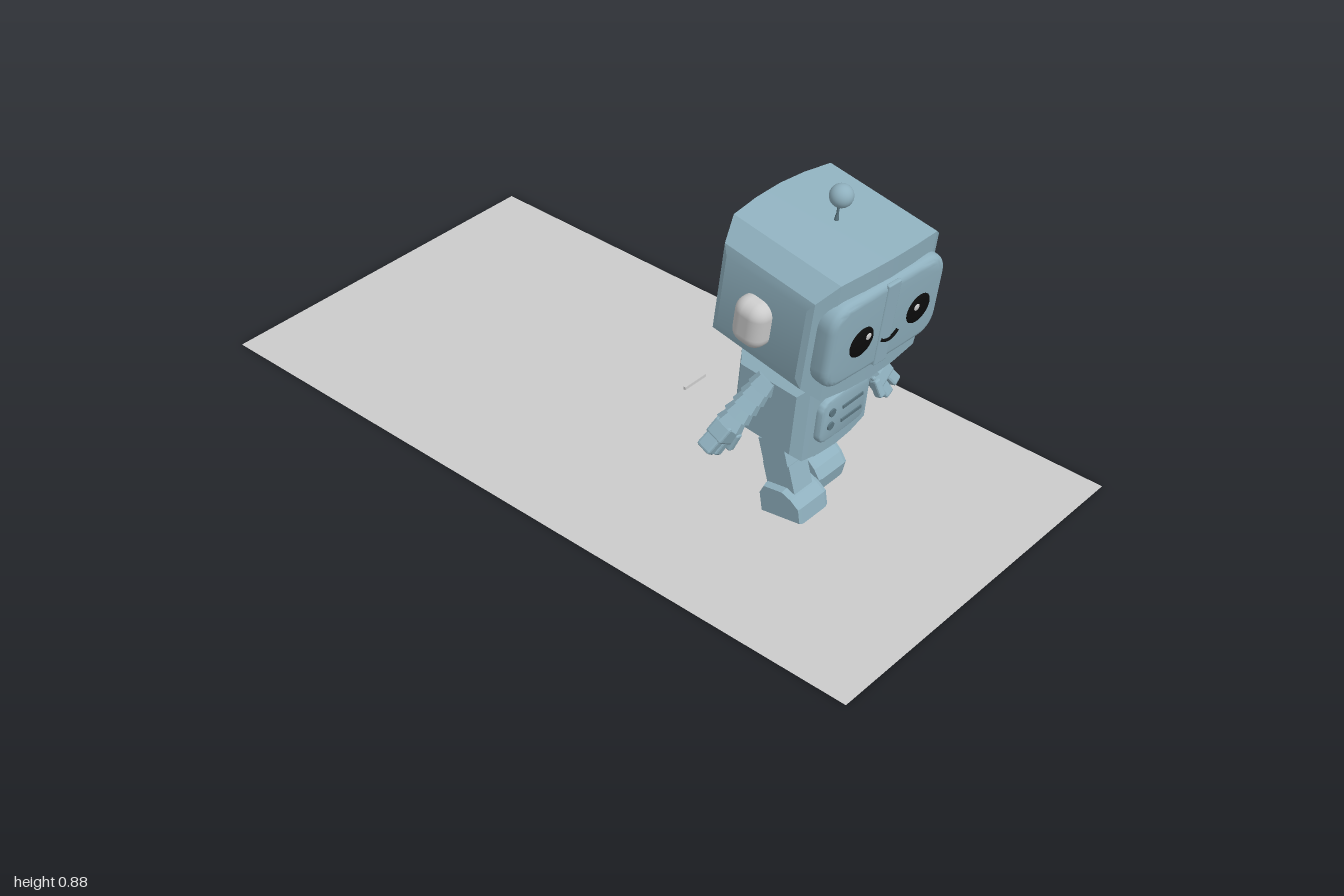
import * as THREE from 'three';
import { toCreasedNormals } from 'three/addons/utils/BufferGeometryUtils.js';
import { RoundedBoxGeometry } from 'three/addons/geometries/RoundedBoxGeometry.js';

const mat = (color, extra = {}) => new THREE.MeshStandardMaterial({ color, ...extra });
const blue = mat(0x8fb0be);
const blueFlat = mat(0x8fb0be, { flatShading: true });
const darkBlue = mat(0x5d7883);
const grey = mat(0xcccccc);
const black = mat(0x0c0c0c);

function add(parent, name, geo, material, x = 0, y = 0, z = 0) {
  const mesh = new THREE.Mesh(geo, material);
  mesh.name = name;
  mesh.position.set(x, y, z);
  parent.add(mesh);
  return mesh;
}

function group(parent, name, x, y, z) {
  const g = new THREE.Group();
  g.name = name;
  g.position.set(x, y, z);
  parent.add(g);
  return g;
}

// Chamfered, slightly bulging box: rectangular rings [x, half height, half depth] along x
function loftBox(rings) {
  const pos = [], idx = [];
  for (const [x, h, d] of rings) pos.push(x, -h, -d, x, h, -d, x, h, d, x, -h, d);
  for (let i = 0; i < rings.length - 1; i++) {
    for (let j = 0; j < 4; j++) {
      const a = i * 4 + j, b = i * 4 + (j + 1) % 4;
      idx.push(a, b, b + 4, a, b + 4, a + 4);
    }
  }
  const n = (rings.length - 1) * 4;
  idx.push(0, 2, 1, 0, 3, 2, n, n + 1, n + 2, n, n + 2, n + 3);
  const geo = new THREE.BufferGeometry();
  geo.setAttribute('position', new THREE.Float32BufferAttribute(pos, 3));
  geo.setIndex(idx);
  return toCreasedNormals(geo, 0.25);
}

const mirrorRings = (half) => [
  ...half.map(([x, h, d]) => [-x, h, d]),
  ...half.slice(0, -1).reverse(),
];

// Rounded plate with a soft front edge; its front lies at z = depth
function plate(w, h, r, depth, bevel) {
  const a = w / 2 - bevel, b = h / 2 - bevel, s = new THREE.Shape();
  s.moveTo(-a + r, -b);
  s.quadraticCurveTo(0, -b - 0.004, a - r, -b);
  s.quadraticCurveTo(a, -b, a, -b + r);
  s.lineTo(a, b - r);
  s.quadraticCurveTo(a, b, a - r, b);
  s.quadraticCurveTo(0, b + 0.004, -a + r, b);
  s.quadraticCurveTo(-a, b, -a, b - r);
  s.lineTo(-a, -b + r);
  s.quadraticCurveTo(-a, -b, -a + r, -b);
  const geo = new THREE.ExtrudeGeometry(s, {
    depth: depth - bevel, bevelSize: bevel, bevelThickness: bevel, bevelSegments: 4, curveSegments: 8,
  });
  return toCreasedNormals(geo, 0.6);
}

function buildHead(root) {
  const head = group(root, 'head', 0.015, 0.615, 0.505);
  head.rotation.set(0.13, -0.06, 0);
  add(head, 'headShell', loftBox(mirrorRings([
    [0.213, 0.095, 0.12], [0.207, 0.12, 0.135], [0.16, 0.163, 0.16], [0.08, 0.169, 0.168], [0, 0.171, 0.171],
  ])), blue);
  // Face plate with a centre strip
  add(head, 'facePlate', plate(0.38, 0.23, 0.045, 0.066, 0.018), blue, -0.004, 0, 0.121);
  add(head, 'faceStrip', new RoundedBoxGeometry(0.044, 0.228, 0.012, 2, 0.004), blue, -0.002, 0, 0.184);
  // Eyes with highlights
  for (const s of [-1, 1]) {
    const eye = add(head, 'eye', new THREE.SphereGeometry(0.04, 32, 16), black, 0.011 + s * 0.096, -0.013, 0.186);
    eye.scale.z = 0.2;
    const glint = add(head, 'eyeHighlight', new THREE.SphereGeometry(0.009, 16, 8), grey,
      0.011 + s * 0.096 - s * 0.014, 0, 0.193);
    glint.scale.z = 0.3;
  }
  const smile = new THREE.QuadraticBezierCurve3(
    new THREE.Vector3(-0.02, -0.038, 0.189), new THREE.Vector3(0.01, -0.062, 0.193), new THREE.Vector3(0.04, -0.038, 0.189));
  add(head, 'smile', new THREE.TubeGeometry(smile, 16, 0.004, 8), black);
  // Ears
  for (const s of [-1, 1]) {
    add(head, 'ear', new RoundedBoxGeometry(0.09, 0.12, 0.09, 4, 0.034), grey, s * 0.212, -0.013, -0.012);
  }
  // Antenna
  add(head, 'antennaBase', new THREE.CylinderGeometry(0.004, 0.006, 0.02, 10), darkBlue, 0, 0.175, 0);
  add(head, 'antennaStem', new THREE.CylinderGeometry(0.003, 0.003, 0.08, 10), darkBlue, 0, 0.2, 0);
  add(head, 'antennaBall', new THREE.SphereGeometry(0.028, 24, 16), blue, 0.003, 0.236, 0);
}

function buildBody(root) {
  const body = group(root, 'body', 0.005, 0.318, 0.465);
  body.rotation.x = 0.09;
  add(body, 'torso', loftBox(mirrorRings([
    [0.142, 0.085, 0.082], [0.118, 0.108, 0.102], [0.06, 0.116, 0.108], [0, 0.119, 0.11],
  ])), blue);
  add(body, 'neck', new THREE.CylinderGeometry(0.06, 0.07, 0.06, 20), blue, 0, 0.13, 0);
  // Chest panel with buttons and slots
  add(body, 'chestPanel', plate(0.175, 0.125, 0.025, 0.022, 0.008), blue, 0, -0.01, 0.1);
  for (const y of [0.013, -0.027]) {
    const button = add(body, 'button', new THREE.CylinderGeometry(0.011, 0.011, 0.008, 16), darkBlue, -0.051, y, 0.122);
    button.rotation.x = Math.PI / 2;
    add(body, 'slot', new THREE.BoxGeometry(0.075, 0.009, 0.006), darkBlue, 0.027, y - 0.007, 0.122);
  }
}

// Ribbed arm running from shoulder to fingertips
function buildArm(root, name, from, to, side) {
  const arm = group(root, name, ...from);
  const dir = new THREE.Vector3(...to).sub(arm.position).normalize();
  arm.quaternion.setFromUnitVectors(new THREE.Vector3(0, -1, 0), dir);
  for (let i = 0; i < 5; i++) {
    const rib = add(arm, 'armRib', new THREE.CylinderGeometry(0.027, 0.033 + i * 0.0008, 0.031, 8), blueFlat, 0, -0.014 - i * 0.028, 0);
    rib.rotation.y = Math.PI / 8;
  }
  // Hand: palm, two finger blocks and a thumb
  add(arm, 'palm', new RoundedBoxGeometry(0.064, 0.046, 0.05, 1, 0.006), blueFlat, 0, -0.16, 0);
  for (const s of [-1, 1]) {
    const finger = add(arm, 'finger', new RoundedBoxGeometry(0.03, 0.05, 0.042, 1, 0.006), blueFlat, s * 0.017, -0.195, 0);
    finger.rotation.z = s * 0.08;
  }
  const thumb = add(arm, 'thumb', new RoundedBoxGeometry(0.02, 0.05, 0.024, 1, 0.005), blueFlat, -side * 0.034, -0.172, 0.018);
  thumb.rotation.z = -side * 0.35;
}

// Two-part leg with a wedge foot; profile runs heel to toe
function buildLeg(root, name, x, ankleZ, footY, pitch) {
  const leg = group(root, name, x, 0.21, 0.46);
  leg.rotation.x = Math.atan2(0.46 - ankleZ, 0.14);
  add(leg, 'upperLeg', new THREE.BoxGeometry(0.068, 0.066, 0.074), blueFlat, 0, -0.033, 0);
  add(leg, 'lowerLeg', new THREE.BoxGeometry(0.066, 0.09, 0.08), blueFlat, 0, -0.11, 0);
  const p = new THREE.Shape([[-0.045, 0], [0.07, 0], [0.07, 0.038], [0.05, 0.058], [0.025, 0.072], [-0.03, 0.072], [-0.045, 0.05]]
    .map(([a, b]) => new THREE.Vector2(a, b)));
  const geo = new THREE.ExtrudeGeometry(p, { depth: 0.084, bevelSize: 0.003, bevelThickness: 0.01, bevelSegments: 1 });
  geo.translate(0, 0, -0.042).rotateY(-Math.PI / 2);
  const foot = add(root, name + 'Foot', geo, blueFlat, x, footY, ankleZ);
  foot.rotation.x = pitch;
}

export function createModel() {
  const model = new THREE.Group();
  model.name = 'robotScene';

  // Ground sheet and the small loose bar behind the robot
  const sheet = add(model, 'floorSheet', new THREE.PlaneGeometry(1, 2), mat(0xcccccc, { side: THREE.DoubleSide }));
  sheet.rotation.x = -Math.PI / 2;
  add(model, 'looseBar', new THREE.BoxGeometry(0.076, 0.008, 0.006), grey, 0.022, 0.14, 0.116);

  const robot = group(model, 'robot', 0, 0, 0);
  buildHead(robot);
  buildBody(robot);
  buildArm(robot, 'rightArm', [-0.13, 0.4, 0.465], [-0.25, 0.235, 0.395], -1);
  buildArm(robot, 'leftArm', [0.145, 0.385, 0.465], [0.245, 0.215, 0.53], 1);
  buildLeg(robot, 'rightLeg', -0.073, 0.5, 0.018, -0.16);
  buildLeg(robot, 'leftLeg', 0.072, 0.435, 0.021, 0.22);
  return model;
}
